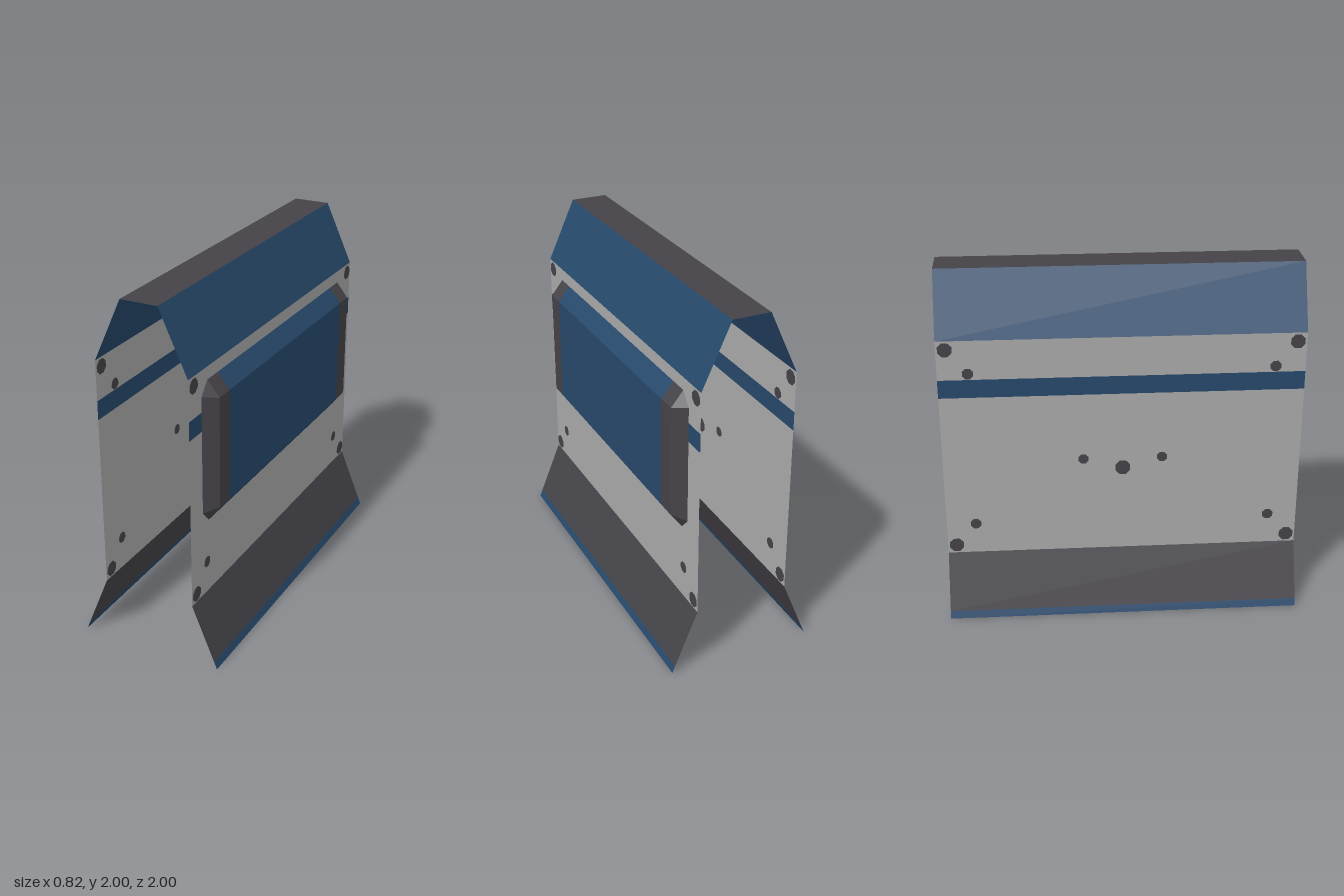
import * as THREE from 'three';

const material = (name, color) => {
  const m = new THREE.MeshStandardMaterial({ color, side: THREE.DoubleSide });
  m.name = name;
  return m;
};

// Flat-shaded mesh from triangles and quads given as corner lists
function faceMesh(name, mat, faces) {
  const pos = [];
  for (const [a, b, c, d] of faces) {
    pos.push(...a, ...b, ...c);
    if (d) pos.push(...a, ...c, ...d);
  }
  const g = new THREE.BufferGeometry();
  g.setAttribute('position', new THREE.Float32BufferAttribute(pos, 3));
  g.computeVertexNormals();
  const mesh = new THREE.Mesh(g, mat);
  mesh.name = name;
  return mesh;
}

// Quads joining consecutive profile points [x, y], swept from z0 to z1
function sweep(profile, z0, z1) {
  const quads = [];
  for (let i = 0; i + 1 < profile.length; i++) {
    const [p, q] = [profile[i], profile[i + 1]];
    quads.push([[...p, z1], [...p, z0], [...q, z0], [...q, z1]]);
  }
  return quads;
}

export function createModel() {
  const gray = material('wallGray', 0xaaaaaa);
  const blue = material('trimBlue', 0x27496c);
  const dark = material('darkMetal', 0x454348);
  const group = new THREE.Group();
  group.name = 'wallSegment';

  const W = 0.265; // half distance between the walls

  // Folded sheet: skirt, wall and roof slope on each side
  const strips = [
    ['skirtEdge', blue, [0.41, 0], [0.394, 0.04]],
    ['skirt', dark, [0.394, 0.04], [W, 0.355]],
    ['lowerWall', gray, [W, 0.355], [W, 1.32]],
    ['wallStripe', blue, [W, 1.32], [W, 1.425]],
    ['upperWall', gray, [W, 1.425], [W, 1.65]],
    ['roofSlope', blue, [W, 1.65], [0.105, 2]],
  ];
  for (const [name, mat, p, q] of strips) {
    group.add(faceMesh(name + 'Left', mat, sweep([p, q], -1, 1)));
    const mirrored = [[-q[0], q[1]], [-p[0], p[1]]];
    group.add(faceMesh(name + 'Right', mat, sweep(mirrored, -1, 1)));
  }
  group.add(faceMesh('roofTop', dark, sweep([[0.105, 2], [-0.105, 2]], -1, 1)));

  // Bolts seen on both faces of each wall: [z, y, radius]
  const bolts = [[0, 0.87, 0.045]];
  for (const s of [-1, 1]) {
    bolts.push(
      [s * 0.95, 1.6, 0.042], [s * 0.95, 0.405, 0.043],
      [s * 0.835, 1.46, 0.032], [s * 0.835, 0.54, 0.032],
      [s * 0.22, 0.93, 0.03],
    );
  }
  for (const side of [-1, 1]) {
    for (const [z, y, r] of bolts) {
      const g = new THREE.CylinderGeometry(r, r, 0.006, 8);
      g.rotateY(Math.PI / 8).rotateZ(Math.PI / 2);
      const bolt = new THREE.Mesh(g, dark);
      bolt.name = 'bolt';
      bolt.position.set(side * W, y, z);
      group.add(bolt);
    }
  }

  // Raised bevelled panel on the left wall
  const panel = new THREE.Group();
  panel.name = 'raisedPanel';
  const X = 0.333;
  const profile = [[W, 0.782], [X, 0.873], [X, 1.495], [W, 1.58]];
  panel.add(faceMesh('panelCentre', blue, sweep(profile, -0.7, 0.7)));
  for (const s of [-1, 1]) {
    const zi = s * 0.81, zo = s * 0.872;
    const faces = sweep(profile, Math.min(s * 0.7, zi), Math.max(s * 0.7, zi));
    const lowIn = [X, 0.873, zi], highIn = [X, 1.495, zi];
    const lowOut = [W, 0.85, zo], highOut = [W, 1.508, zo];
    const ends = [
      [lowIn, highIn, highOut, lowOut],
      [highIn, [W, 1.58, zi], highOut],
      [lowIn, lowOut, [W, 0.782, zi]],
    ];
    // Corner order flips on one end so the faces point outward
    for (const f of ends) faces.push(s > 0 ? f.reverse() : f);
    panel.add(faceMesh('panelEnd', dark, faces));
  }
  group.add(panel);
  return group;
}
